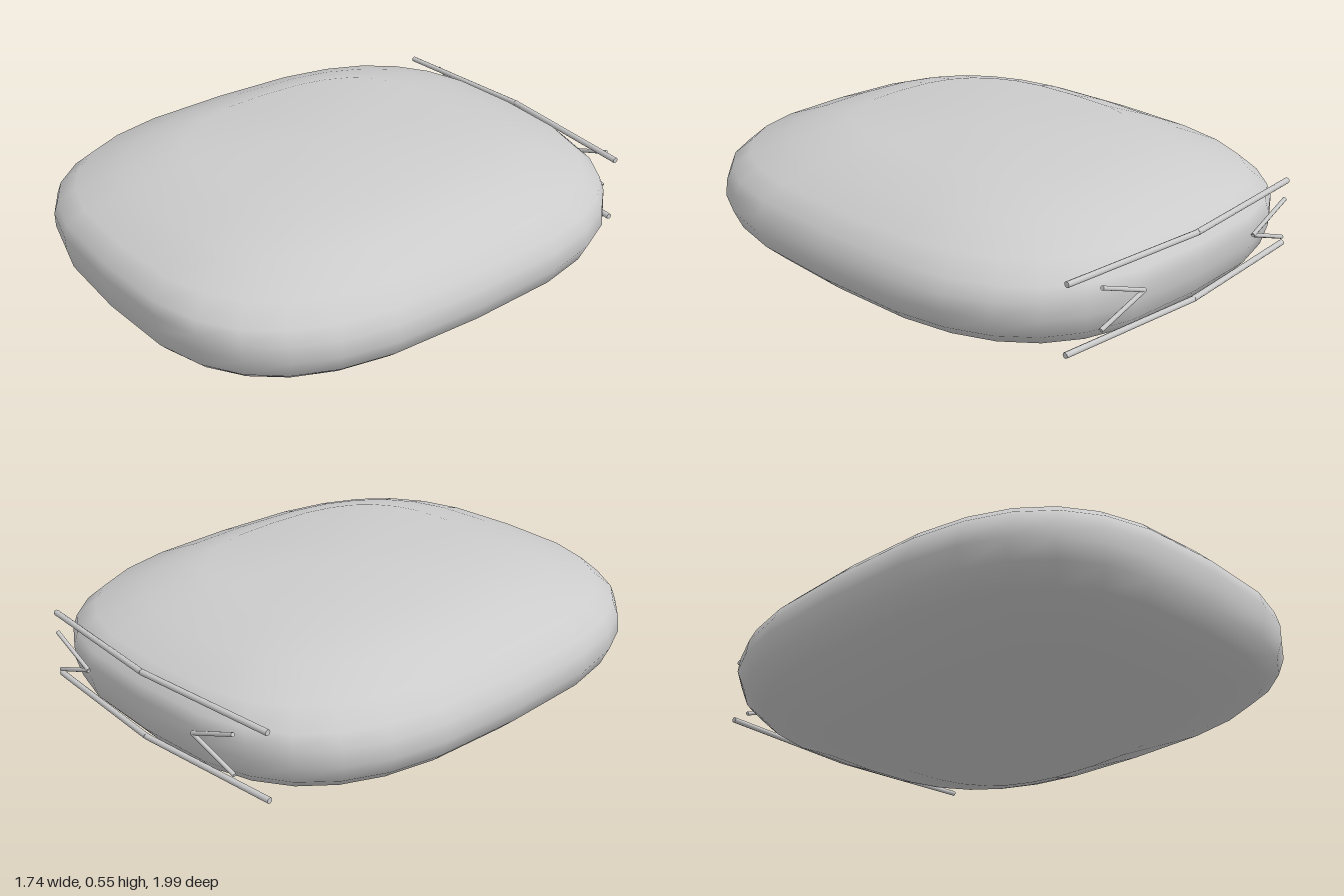
import * as THREE from 'three';

const material = new THREE.MeshStandardMaterial({ color: 0xcccccc });

// Rounded-rectangle rings [half width, half depth, height, exponent], bottom to top
const RINGS = [
  [0.48, 0.55, 0, 2.7],
  [0.64, 0.79, 0.065, 2.8],
  [0.77, 0.92, 0.12, 2.9],
  [0.835, 0.97, 0.18, 3],
  [0.868, 0.985, 0.25, 3],
  [0.855, 0.99, 0.31, 3],
  [0.83, 0.98, 0.36, 3],
  [0.77, 0.92, 0.42, 2.9],
  [0.63, 0.76, 0.48, 2.8],
  [0.45, 0.53, 0.545, 2.7],
];
const SEGMENTS = 28;

// Cushion-shaped body: superellipse rings closed by flat caps
function bodyGeometry() {
  const positions = [];
  const index = [];
  const signedPower = (v, p) => Math.sign(v) * Math.abs(v) ** p;
  for (const [a, b, y, n] of RINGS) {
    for (let i = 0; i < SEGMENTS; i++) {
      const t = (i / SEGMENTS) * Math.PI * 2;
      positions.push(a * signedPower(Math.cos(t), 2 / n), y, b * signedPower(Math.sin(t), 2 / n));
    }
  }
  const bottom = positions.length / 3;
  const top = bottom + 1;
  positions.push(0, 0, 0, 0, 0.545, 0);
  const last = (RINGS.length - 1) * SEGMENTS;
  for (let i = 0; i < SEGMENTS; i++) {
    const j = (i + 1) % SEGMENTS;
    for (let r = 0; r < last; r += SEGMENTS) {
      const up = r + SEGMENTS;
      index.push(r + i, up + i, r + j, r + j, up + i, up + j);
    }
    index.push(bottom, i, j, top, last + j, last + i);
  }
  const geometry = new THREE.BufferGeometry();
  geometry.setAttribute('position', new THREE.Float32BufferAttribute(positions, 3));
  geometry.setIndex(index);
  geometry.computeVertexNormals();
  return geometry;
}

// Round rods joining consecutive points
function rodChain(name, points, radius) {
  const group = new THREE.Group();
  group.name = name;
  const corners = points.map((p) => new THREE.Vector3(...p));
  for (let i = 0; i < corners.length - 1; i++) {
    const direction = corners[i + 1].clone().sub(corners[i]);
    const rod = new THREE.Mesh(new THREE.CylinderGeometry(radius, radius, direction.length(), 8), material);
    rod.position.copy(corners[i]).addScaledVector(direction, 0.5);
    rod.quaternion.setFromUnitVectors(new THREE.Vector3(0, 1, 0), direction.normalize());
    rod.name = name + 'Rod';
    group.add(rod);
  }
  return group;
}

export function createModel() {
  const model = new THREE.Group();
  model.name = 'cushion';

  const body = new THREE.Mesh(bodyGeometry(), material);
  body.name = 'body';
  model.add(body);

  // Bent bars across the back
  for (const [name, y] of [['upperBar', 0.4], ['lowerBar', 0.15]]) {
    model.add(rodChain(name, [[-0.6, y, -0.92], [0, y, -0.968], [0.6, y, -0.92]], 0.011));
  }

  // V-shaped brackets between the bars, points facing inwards
  for (const [name, s] of [['leftBracket', 1], ['rightBracket', -1]]) {
    model.add(rodChain(name, [[s * 0.5, 0.375, -0.98], [s * 0.3, 0.3, -0.99], [s * 0.5, 0.225, -0.98]], 0.008));
  }
  return model;
}
